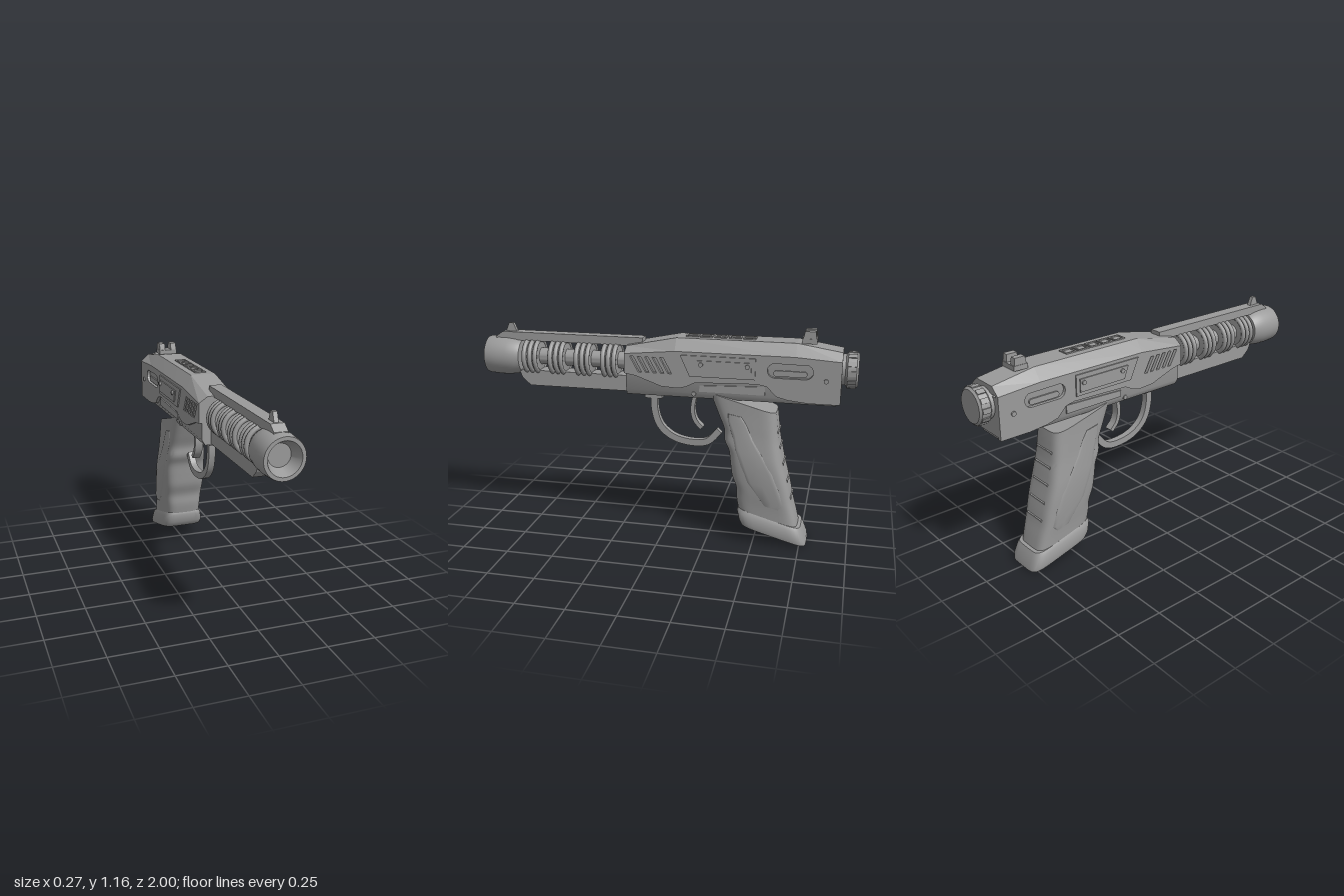
import * as THREE from 'three';
import { toCreasedNormals } from 'three/addons/utils/BufferGeometryUtils.js';

const grey = new THREE.MeshStandardMaterial({ color: 0x9a9a9a });
grey.name = 'metal grey';

// Skin through rings of points (each ring counter-clockwise seen from the end), with end caps
function loft(rings, crease = 0.6) {
  const n = rings[0].length, pos = rings.flat(2), idx = [];
  for (let i = 0; i < rings.length - 1; i++) for (let j = 0; j < n; j++) {
    const a = i * n + j, b = i * n + (j + 1) % n;
    idx.push(a, b, b + n, a, b + n, a + n);
  }
  const last = (rings.length - 1) * n;
  for (let j = 1; j < n - 1; j++) idx.push(0, j + 1, j, last, last + j, last + j + 1);
  const g = new THREE.BufferGeometry();
  g.setAttribute('position', new THREE.Float32BufferAttribute(pos, 3));
  g.setIndex(idx);
  return toCreasedNormals(g, crease);
}

// Side profile given as [z, y] points, extruded from x0 across the given width
function profile(pts, x0, width, holes = []) {
  const to = ([z, y]) => new THREE.Vector2(-z, y);
  const s = new THREE.Shape(pts.map(to));
  holes.forEach(h => s.holes.push(new THREE.Path(h.map(to))));
  return new THREE.ExtrudeGeometry(s, { depth: width, bevelEnabled: false }).rotateY(Math.PI / 2).translate(x0, 0, 0);
}

// Rounded bar outline in [z, y]
function pill(z, y, len, h) {
  const r = h / 2, out = [];
  for (let i = 0; i <= 16; i++) {
    const a = -Math.PI / 2 + Math.PI * (i > 8 ? i - 1 : i) / 8 + (i > 8 ? Math.PI / 8 : 0);
    out.push([z + (i <= 8 ? 1 : -1) * (len / 2 - r) + r * Math.cos(a), y + r * Math.sin(a)]);
  }
  return out;
}

// Lathe along z from [radius, z] points
const lathe = (pts, y, seg = 40) => toCreasedNormals(
  new THREE.LatheGeometry(pts.map(p => new THREE.Vector2(...p)), seg).rotateX(Math.PI / 2), 0.5).translate(0, y, 0);

export function createModel() {
  const root = new THREE.Group();
  const add = (name, geo) => {
    const m = new THREE.Mesh(geo, grey);
    m.name = name;
    root.add(m);
    return m;
  };
  const box = (name, w, h, d, x, y, z) => add(name, new THREE.BoxGeometry(w, h, d).translate(x, y, z));
  const sides = (name, pts, x, t, holes) => {
    add(name + 'Left', profile(pts, x, t, holes));
    add(name + 'Right', profile(pts, -x - t, t, holes));
  };

  // Inner frame with chamfered underside
  const frame = [[-.08, .795], [.08, .795], [.098, .825], [.098, 1.02], [-.098, 1.02], [-.098, .825]];
  add('frame', loft([-.9, .195].map(z => frame.map(([x, y]) => [x, y, z]))));
  box('rearPlate', .2, .2, .02, 0, .92, -.908);

  // Side shells with slanted vents and a long window
  const vents = [0, 1, 2, 3, 4].map(i => {
    const z = .17 - i * .04;
    return [[z, 1.008], [z - .02, 1.008], [z - .065, .925], [z - .045, .925]];
  });
  sides('sideShell', [[.2, 1.02], [.2, .915], [.14, .905], [0, .855], [-.09, .85], [-.13, .86], [-.18, .885],
    [-.5, .895], [-.55, .885], [-.6, .835], [-.66, .82], [-.76, .81], [-.92, .81], [-.92, 1.03], [-.69, 1.045], [-.07, 1.045]],
    .094, .021, [...vents, pill(-.665, .97, .23, .075)]);
  sides('windowInsert', pill(-.665, .955, .17, .03), .097, .009);

  // Chamfered roof
  add('roof', loft([[-.92, 1.03, 1.07], [-.69, 1.045, 1.107], [-.07, 1.045, 1.107], [.2, 1.02, 1.052]].map(([z, c, t]) =>
    [[-.115, c, z], [.115, c, z], [.068, t, z], [-.068, t, z]]), 0.1));

  // Raised side panels, lower ribs and fasteners
  sides('sidePanel', [[-.1, 1.028], [-.15, .918], [-.49, .918], [-.49, 1.028]], .114, .008);
  sides('sidePanelCover', [[-.17, 1.005], [-.195, .937], [-.47, .937], [-.47, 1.005]], .12, .008);
  sides('lowerRib', [[-.2, .868], [-.2, .835], [-.54, .835], [-.54, .88]], .097, .007);
  for (const s of [-1, 1]) for (const [z, y, x] of [[-.21, .985, .128], [-.45, .985, .128], [-.845, .93, .115], [-.17, .82, .094]])
    add('fastener', new THREE.CylinderGeometry(.012, .012, .016, 14).rotateZ(Math.PI / 2).translate(s * x, y, z));

  // Row of square vent frames on the roof
  for (let i = 0; i < 5; i++) {
    const z = -.145 - i * .075;
    for (const s of [-1, 1]) {
      box('roofVentSide', .009, .012, .066, s * .026, 1.107, z);
      box('roofVentEnd', .06, .012, .009, 0, 1.107, z + s * .0285);
    }
  }

  // Rear knob
  add('rearKnob', lathe([[0, -1], [.082, -1], [.092, -.99], [.092, -.945], [.08, -.935], [.08, -.91]], .97));
  for (let i = 0; i < 12; i++)
    add('knobRidge', new THREE.BoxGeometry(.026, .008, .042).translate(0, .092, -.967).rotateZ(i * Math.PI / 6).translate(0, .97, 0));

  // Barrel and four groups of cooling fins
  add('barrel', lathe([[.045, .15], [.045, .84]], .957));
  for (let i = 0; i < 4; i++) {
    const z = .298 + i * .148;
    add('finCore', lathe([[.04, z - .042], [.08, z - .038], [.08, z + .038], [.04, z + .042]], .957));
    for (const d of [-.031, 0, .031])
      add('fin', new THREE.TorusGeometry(.087, .0125, 10, 40).translate(0, .957, z + d));
  }

  // Muzzle with flared bore
  add('muzzle', lathe([[.04, .8], [.09, .805], [.1, .83], [.106, .88], [.107, .93], [.103, .99], [.1, 1],
    [.082, 1], [.055, .94], [0, .94]], .955, 48));
  for (let i = 0; i < 6; i++)
    add('muzzleSlot', new THREE.BoxGeometry(.009, .022, .07).translate(.0995, 0, .93)
      .rotateZ(Math.PI / 6 + i * Math.PI / 3).translate(0, .955, 0));

  // Upper and lower rails
  add('upperRail', profile([[.12, 1.045], [.95, 1.045], [.95, 1.062], [.91, 1.09], [.12, 1.09]], -.034, .068));
  add('lowerRail', profile([[.18, .8], [.755, .8], [.8, .84], [.82, .885], [.18, .885]], -.048, .096));

  // Sights
  add('frontSight', profile([[.9, 1.085], [.88, 1.135], [.855, 1.135], [.835, 1.085]], -.011, .022));
  box('rearSightBase', .105, .025, .075, 0, 1.115, -.75);
  for (const s of [-1, 1])
    add('rearSightPost', profile([[-.715, 1.12], [-.725, 1.165], [-.78, 1.165], [-.785, 1.12]], s * .034 - .016, .032));

  // Trigger guard and trigger, swept with a flat section
  const sweep = (name, pts, w, t) => {
    const c = new THREE.CatmullRomCurve3(pts.map(([z, y]) => new THREE.Vector3(0, y, z)));
    const rings = [];
    for (let i = 0; i <= 28; i++) {
      const p = c.getPoint(i / 28), d = c.getTangent(i / 28);
      const ny = d.z * t, nz = -d.y * t;
      rings.push([[-w, p.y - ny, p.z - nz], [w, p.y - ny, p.z - nz], [w, p.y + ny, p.z + nz], [-w, p.y + ny, p.z + nz]]);
    }
    add(name, loft(rings));
  };
  sweep('triggerGuard', [[.06, .79], [.06, .7], [.03, .61], [-.04, .55], [-.14, .525], [-.23, .535], [-.295, .6]], .018, .018);
  box('guardMount', .05, .04, .095, 0, .782, .065);
  sweep('trigger', [[-.17, .81], [-.155, .76], [-.15, .7], [-.165, .65], [-.2, .61]], .022, .011);

  // Grip: slanted rounded sections given as [frontZ, frontY, backZ, backY, halfWidth]
  const ring = ([fz, fy, bz, by, w], e = .42) => Array.from({ length: 40 }, (_, i) => {
    const a = i / 40 * Math.PI * 2, soft = v => Math.sign(v) * Math.abs(v) ** e;
    const k = (1 - soft(Math.cos(a))) / 2;
    return [w * soft(Math.sin(a)), fy + (by - fy) * k, fz + (bz - fz) * k];
  });
  const gripKeys = [
    [-.415, .18, -.74, .09, .105], [-.402, .25, -.72, .17, .109], [-.4, .31, -.7, .24, .115], [-.375, .38, -.685, .31, .119],
    [-.365, .45, -.667, .38, .122], [-.355, .52, -.648, .45, .121], [-.33, .575, -.633, .52, .116], [-.328, .63, -.62, .58, .111],
    [-.3, .7, -.612, .64, .108], [-.275, .76, -.606, .69, .106], [-.245, .835, -.6, .735, .105]];
  const curve = k => new THREE.CatmullRomCurve3(gripKeys.map(g => k(g)));
  const front = curve(g => new THREE.Vector3(g[4], g[1], g[0])), back = curve(g => new THREE.Vector3(0, g[3], g[2]));
  const gripAt = t => {
    const f = front.getPoint(t), b = back.getPoint(t);
    return [f.z, f.y, b.z, b.y, f.x];
  };
  add('grip', loft(Array.from({ length: 41 }, (_, i) => ring(gripAt(i / 40))), 0.9));

  // Raised side inlay, inset between start and end fractions of the section depth
  const inlay = [[.13, .48, .76], [.18, .4, .87], [.3, .24, .87], [.42, .17, .83], [.55, .15, .72],
    [.68, .15, .58], [.8, .15, .52], [.87, .2, .46]];
  add('gripInlay', loft(inlay.map(([t, s, e]) => {
    const [fz, fy, bz, by, w] = gripAt(t), mix = (a, b, k) => a + (b - a) * k;
    return ring([mix(fz, bz, s), mix(fy, by, s), mix(fz, bz, e), mix(fy, by, e), w + .003], .25);
  }), 0.8));

  // Grip base plate
  add('gripBase', loft([[-.445, .095, -.775, .005, .105], [-.432, .105, -.787, .008, .117], [-.42, .13, -.783, .03, .122],
    [-.408, .18, -.762, .085, .115], [-.415, .198, -.752, .105, .106]].map(k => ring(k, .36)), 0.7));

  // Ribs across the back of the grip
  for (let i = 0; i < 5; i++) {
    const [, , z, y] = gripAt(.24 + i * .135);
    const rib = box('gripRib', .125, .012, .012, 0, 0, 0);
    rib.position.set(0, y, z + .002);
    rib.rotation.x = -.25;
  }
  return root;
}
